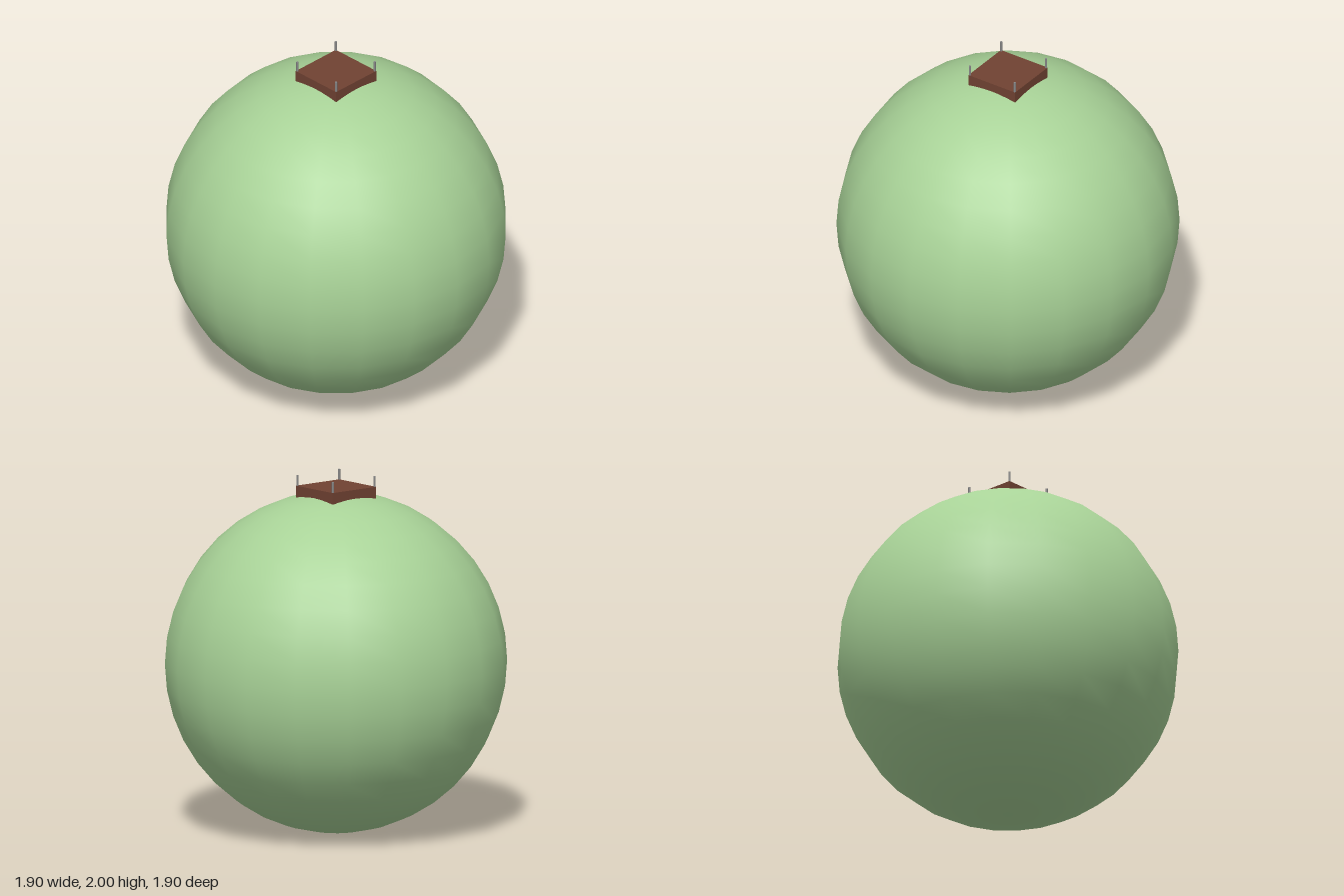
import * as THREE from 'three';

const RADIUS = 0.952;
const DECK_TOP = 1.94;
const DECK_HALF = 0.158;
const POST_RADIUS = 0.0064;

function addPart(parent, name, geometry, color, x, y, z) {
  const mesh = new THREE.Mesh(geometry, new THREE.MeshStandardMaterial({ color }));
  mesh.name = name;
  mesh.position.set(x, y, z);
  parent.add(mesh);
  return mesh;
}

export function createModel() {
  const model = new THREE.Group();
  model.name = 'globeWithPlatform';

  // Large smooth globe
  addPart(model, 'globe', new THREE.SphereGeometry(RADIUS, 20, 20), 0xa8d297, 0, RADIUS, 0);

  // Square deck sunk into the crown of the globe
  const deckHeight = 0.065;
  addPart(model, 'deck', new THREE.BoxGeometry(DECK_HALF * 2, deckHeight, DECK_HALF * 2),
    0x704232, 0, DECK_TOP - deckHeight / 2, 0);

  // Thin post at each corner of the deck
  const posts = new THREE.Group();
  posts.name = 'cornerPosts';
  model.add(posts);
  const postHeight = 2 - DECK_TOP;
  const postGeometry = new THREE.CylinderGeometry(POST_RADIUS, POST_RADIUS, postHeight, 8);
  const inset = DECK_HALF - POST_RADIUS;
  for (const x of [-1, 1]) {
    for (const z of [-1, 1]) {
      const name = (z > 0 ? 'front' : 'back') + (x > 0 ? 'Left' : 'Right') + 'Post';
      addPart(posts, name, postGeometry, 0x888888, x * inset, DECK_TOP + postHeight / 2, z * inset);
    }
  }
  return model;
}
